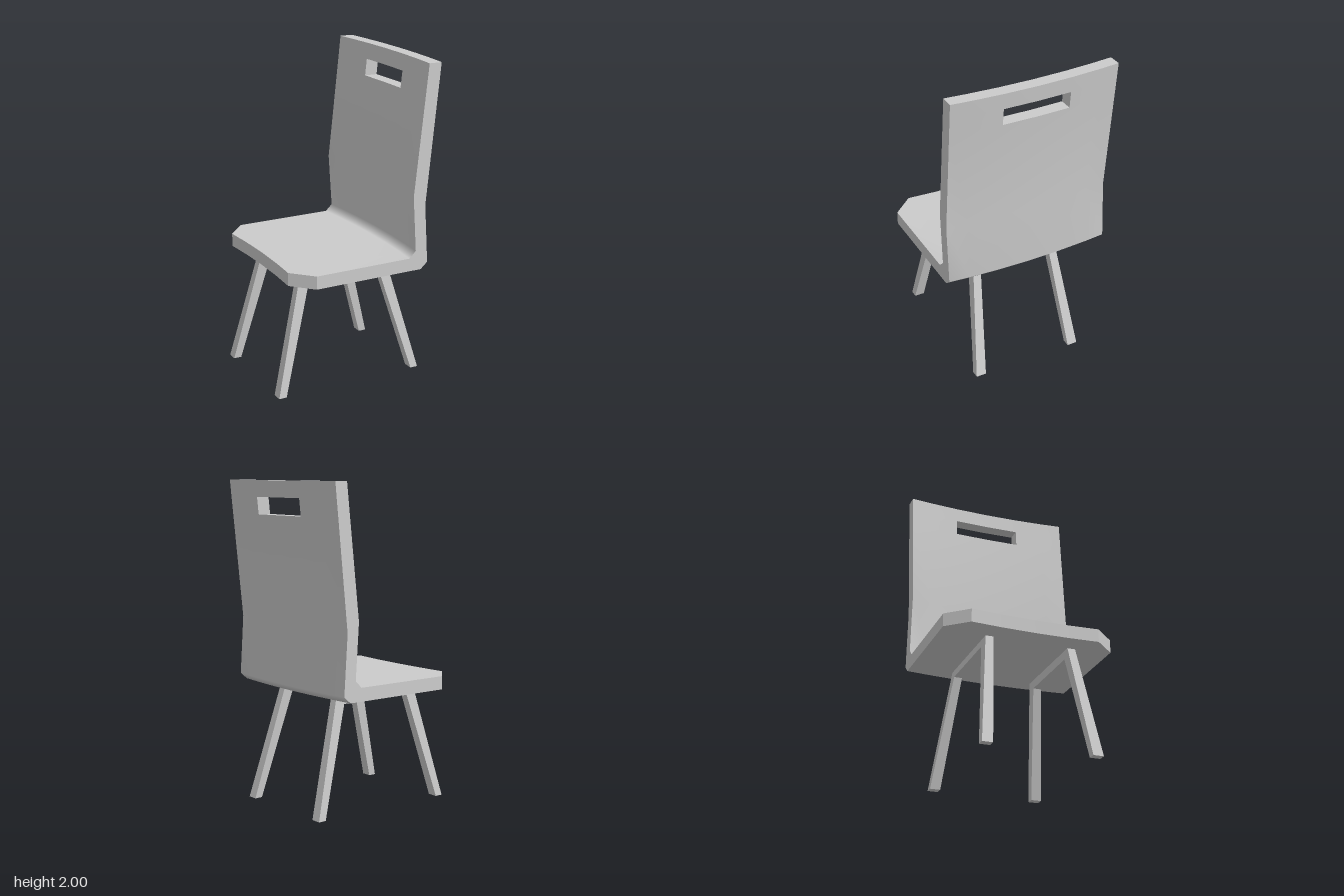
import * as THREE from 'three';
import { mergeGeometries } from 'three/addons/utils/BufferGeometryUtils.js';

const material = new THREE.MeshStandardMaterial({ color: 0xcccccc });

// Local frame: the chair's back is toward +x, its width runs along z.
const HALF = 0.533;
const COLUMNS = [-HALF, -0.4, -0.214, 0, 0.214, 0.4, HALF];

// Side profiles [x, y] from the top of the back to the front of the seat.
const FRONT_PROFILE = [[0.392, 2], [0.381, 1.9], [0.3695, 1.795], [0.304, 1.2], [0.327, 0.857], [0.283, 0.815], [-0.485, 0.815]];
const BACK_PROFILE = [[0.475, 2], [0.465, 1.9], [0.454, 1.795], [0.387, 1.14], [0.411, 0.773], [0.365, 0.733], [-0.485, 0.733]];

// Sweep a profile across the width: bowed backward, front corners cut off.
function sweep(profile) {
  return profile.map(([x, y], i) => COLUMNS.map((z) => {
    const cut = i === profile.length - 1 && Math.abs(z) === HALF ? 0.134 : 0;
    const bow = 0.03 * (1 - (z / HALF) ** 2);
    return new THREE.Vector3(x + cut + bow, y, z);
  }));
}

// Surface through rows of points; its front is (row direction) x (column direction).
function patch(rows, { smooth = false, isHole = () => false } = {}) {
  const n = rows[0].length;
  const index = [];
  for (let r = 0; r < rows.length - 1; r++) {
    for (let c = 0; c < n - 1; c++) {
      if (isHole(r, c)) continue;
      const a = r * n + c, b = a + n;
      index.push(a, b, b + 1, a, b + 1, a + 1);
    }
  }
  const geometry = new THREE.BufferGeometry().setFromPoints(rows.flat());
  geometry.setIndex(index);
  if (smooth) geometry.computeVertexNormals();
  const result = geometry.toNonIndexed();
  if (!smooth) result.computeVertexNormals();
  return result;
}

function shellGeometry() {
  const front = sweep(FRONT_PROFILE);
  const back = sweep(BACK_PROFILE);
  const last = front.length - 1;
  const end = COLUMNS.length - 1;
  const column = (rows, c) => rows.map((row) => row[c]);
  const face = { smooth: true, isHole: (r, c) => r === 1 && (c === 2 || c === 3) };
  const slot = (row) => row.slice(2, 5);
  const slotEnd = (rows, c) => column(rows.slice(1, 3), c);

  return mergeGeometries([
    // sitting side and underside
    patch(front, face),
    patch(back.map((row) => [...row].reverse()), face),
    // top, front and side edges
    patch([back[0], front[0]]),
    patch([front[last], back[last]]),
    patch([column(back, end), column(front, end)]),
    patch([column(front, 0), column(back, 0)]),
    // walls of the hand slot
    patch([slot(back[2]), slot(front[2])]),
    patch([slot(front[1]), slot(back[1])]),
    patch([slotEnd(back, 2), slotEnd(front, 2)]),
    patch([slotEnd(front, 4), slotEnd(back, 4)]),
  ]);
}

// Inverted U frame with splayed legs that also lean outward.
function legFrameGeometry(side) {
  const outline = [[-0.53, 0], [-0.48, 0], [-0.29, 0.67], [0.207, 0.67], [0.406, 0], [0.456, 0], [0.262, 0.72], [-0.348, 0.72]];
  const shape = new THREE.Shape(outline.map(([x, y]) => new THREE.Vector2(x, y)));
  const geometry = new THREE.ExtrudeGeometry(shape, { depth: 1, bevelEnabled: false });
  const p = geometry.attributes.position;
  for (let i = 0; i < p.count; i++) {
    const t = p.getY(i) / 0.72;
    const outer = THREE.MathUtils.lerp(0.365, 0.285, t);
    const inner = THREE.MathUtils.lerp(0.3, 0.235, t);
    const isOuter = (p.getZ(i) > 0.5) === (side > 0);
    p.setZ(i, side * (isOuter ? outer : inner));
  }
  geometry.computeVertexNormals();
  return geometry;
}

export function createModel() {
  const chair = new THREE.Group();
  chair.name = 'chair';

  const shell = new THREE.Mesh(shellGeometry(), material);
  shell.name = 'seatAndBackrest';
  shell.position.z = -0.02;
  chair.add(shell);

  for (const side of [1, -1]) {
    const frame = new THREE.Mesh(legFrameGeometry(side), material);
    frame.name = side > 0 ? 'legFrameNear' : 'legFrameFar';
    frame.position.z = -0.005;
    chair.add(frame);
  }

  // The chair stands turned a little about its vertical axis.
  chair.rotation.y = THREE.MathUtils.degToRad(-15.6);
  const model = new THREE.Group();
  model.add(chair);
  return model;
}
